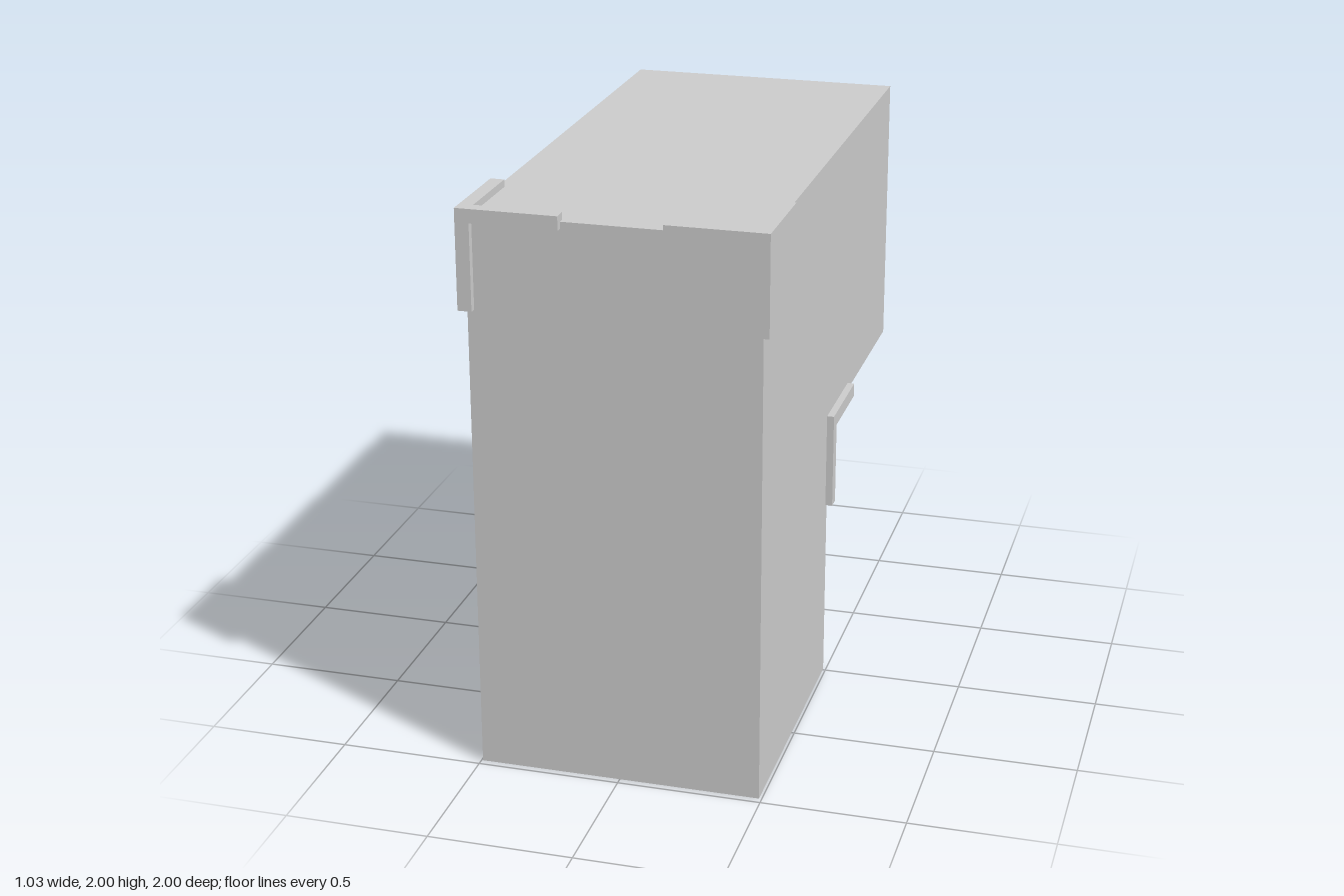
import * as THREE from 'three';

export function createModel() {
  const model = new THREE.Group();
  const grey = new THREE.MeshStandardMaterial({ color: 0xcccccc, flatShading: true });
  const thin = new THREE.MeshStandardMaterial({ color: 0xcccccc, flatShading: true, side: THREE.DoubleSide });

  // Open-ended elbow duct: four-cornered rings at the bottom opening, the mitre and the back opening
  const left = 0.49, right = -0.495;
  const outer = { y: 1.975, z: 0.975 }, inner = { y: 0.99, z: -0.01 };
  const rings = [
    [0, outer.z, 0, inner.z],
    [outer.y, outer.z, inner.y, inner.z],
    [outer.y, -1, inner.y, -1],
  ];
  const positions = [], index = [];
  for (const [yo, zo, yi, zi] of rings) {
    positions.push(right, yo, zo, left, yo, zo, left, yi, zi, right, yi, zi);
  }
  for (let r = 0; r < rings.length - 1; r++) {
    for (let i = 0; i < 4; i++) {
      const a = r * 4 + i, b = r * 4 + (i + 1) % 4;
      index.push(a, b, b + 4, a, b + 4, a + 4);
    }
  }
  const indexed = new THREE.BufferGeometry();
  indexed.setAttribute('position', new THREE.Float32BufferAttribute(positions, 3));
  indexed.setIndex(index);
  const ductGeometry = indexed.toNonIndexed();
  ductGeometry.computeVertexNormals();
  const duct = new THREE.Mesh(ductGeometry, thin);
  duct.name = 'elbowDuct';
  model.add(duct);

  // Corner bracket: three square bars running inward, down and back from one corner
  const length = 0.345, t = 0.048;
  function addBracket(name, x, y, z) {
    const bracket = new THREE.Group();
    bracket.name = name;
    bracket.position.set(x, y, z);
    const inward = -Math.sign(x), rest = length - t, mid = t + rest / 2;
    const bars = [
      ['inwardBar', length, t, t, length / 2, t / 2, t / 2],
      ['uprightBar', t, rest, t, t / 2, mid, t / 2],
      ['lengthwiseBar', t, t, rest, t / 2, t / 2, mid],
    ];
    for (const [barName, w, h, d, px, py, pz] of bars) {
      const bar = new THREE.Mesh(new THREE.BoxGeometry(w, h, d), grey);
      bar.name = barName;
      bar.position.set(inward * px, -py, -pz);
      bracket.add(bar);
    }
    model.add(bracket);
  }

  for (const [side, x] of [['Left', 0.515], ['Right', -0.52]]) {
    addBracket('topFrontBracket' + side, x, 2, 1);
    addBracket('innerElbowBracket' + side, x, 1.017, 0.01);
  }
  return model;
}
